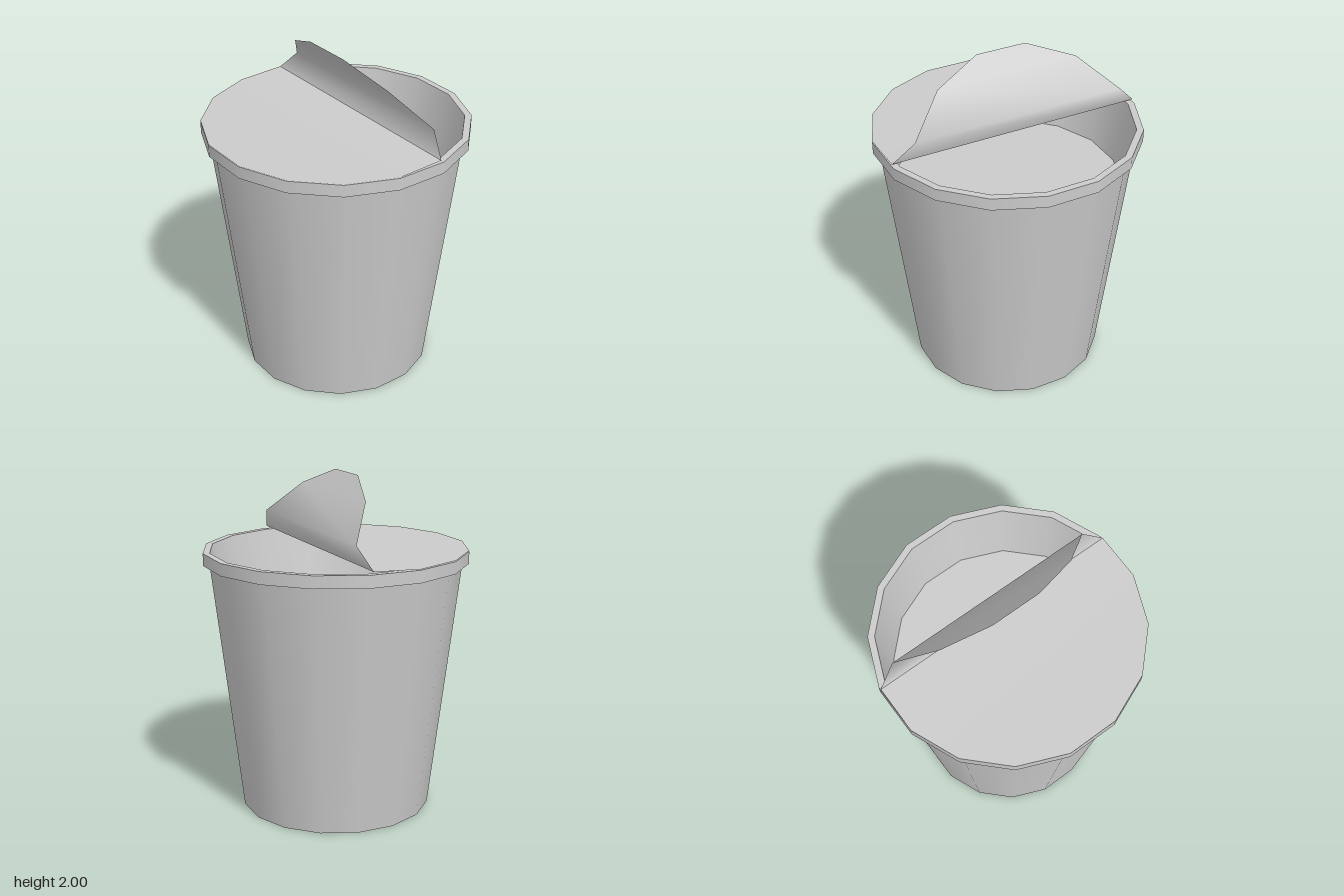
import * as THREE from 'three';

const SIDES = 16;
const START = Math.PI / SIDES; // flats face the axes
const grey = new THREE.MeshStandardMaterial({ color: 0xcccccc });
const greyThin = new THREE.MeshStandardMaterial({ color: 0xcccccc, side: THREE.DoubleSide });
const greyInside = new THREE.MeshStandardMaterial({ color: 0xcccccc, side: THREE.BackSide });

function part(name, geometry, material = grey) {
  const mesh = new THREE.Mesh(geometry, material);
  mesh.name = name;
  return mesh;
}

// Open conical band between two heights
function band(rBottom, yBottom, rTop, yTop) {
  return new THREE.CylinderGeometry(rTop, rBottom, yTop - yBottom, SIDES, 1, true, START)
    .translate(0, (yTop + yBottom) / 2, 0);
}

// Flat ring (or disc when inner is 0), facing up or down
function flat(inner, outer, y, up = true) {
  const g = inner > 0
    ? new THREE.RingGeometry(inner, outer, SIDES, 1, START)
    : new THREE.CircleGeometry(outer, SIDES, START);
  return g.rotateX(up ? -Math.PI / 2 : Math.PI / 2).translate(0, y, 0);
}

// Sheet symmetric in z, from rows of [x, y, half width]
function sheet(rows) {
  const positions = [], index = [];
  rows.forEach(([x, y, w], i) => {
    positions.push(x, y, w, x, y, -w);
    if (i > 0) {
      const a = 2 * (i - 1);
      index.push(a, a + 2, a + 1, a + 1, a + 2, a + 3);
    }
  });
  const g = new THREE.BufferGeometry();
  g.setAttribute('position', new THREE.Float32BufferAttribute(positions, 3));
  g.setIndex(index);
  g.computeVertexNormals();
  return g;
}

export function createModel() {
  const model = new THREE.Group();
  model.name = 'cup';

  // Tapered cup body
  model.add(part('cupWall', band(0.566, 0, 0.742, 1.49)));
  model.add(part('cupBase', flat(0, 0.566, 0, false)));

  // Rim
  const rim = new THREE.Group();
  rim.name = 'rim';
  rim.add(part('rimOuter', band(0.78, 1.49, 0.78, 1.562)));
  rim.add(part('rimTop', flat(0.74, 0.78, 1.562)));
  rim.add(part('rimUnderside', flat(0.74, 0.78, 1.49, false)));
  model.add(rim);

  // Inside wall and the surface of the contents
  model.add(part('innerWall', band(0.668, 1.185, 0.74, 1.562), greyInside));
  model.add(part('contents', flat(0, 0.668, 1.185)));

  // Foil lid: closed half, rising slightly to the fold
  model.add(part('lid', sheet([
    [-0.765, 1.567, 0.152], [-0.648, 1.567, 0.433], [-0.433, 1.567, 0.648],
    [-0.152, 1.567, 0.765], [0.13, 1.577, 0.765],
  ]), greyThin));

  // Peeled-back half of the lid
  model.add(part('lidFlap', sheet([
    [0.13, 1.577, 0.765], [0.175, 1.70, 0.645], [0.018, 1.893, 0.433], [-0.07, 2, 0.152],
  ]), greyThin));

  return model;
}
